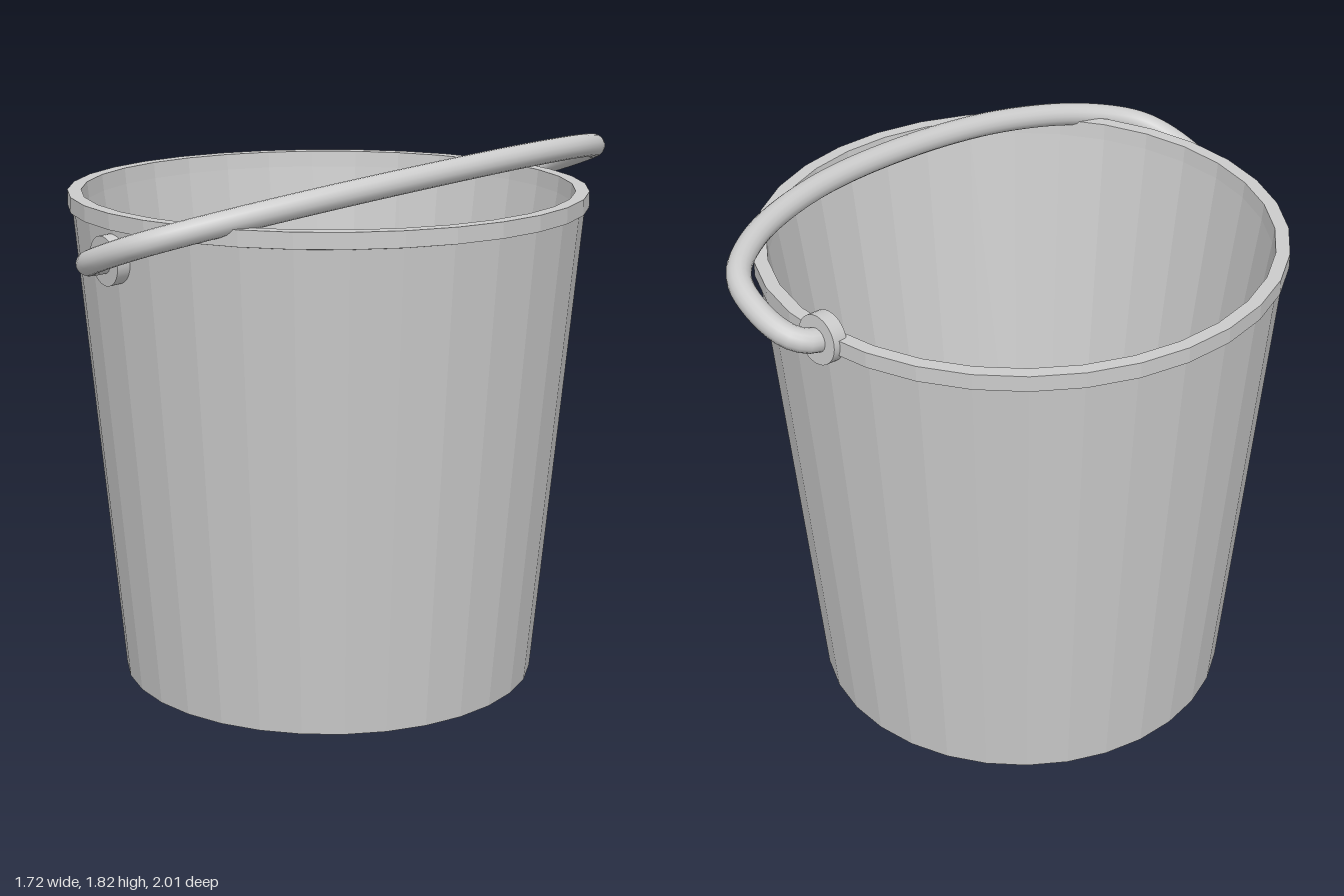
import * as THREE from 'three';

export function createModel() {
  const model = new THREE.Group();
  const smooth = new THREE.MeshStandardMaterial({ color: 0xcccccc });
  const faceted = new THREE.MeshStandardMaterial({ color: 0xcccccc, flatShading: true });

  const add = (name, geometry, material) => {
    const mesh = new THREE.Mesh(geometry, material);
    mesh.name = name;
    model.add(mesh);
    return mesh;
  };

  // Pail: closed profile from the outer base, over the rim, down to the inner floor
  const profile = [
    [0, 0], [0.7, 0], [0.846, 1.6], [0.86, 1.603], [0.86, 1.655],
    [0.815, 1.655], [0.81, 1.6], [0.595, 0.05], [0, 0.05],
  ].map(([r, y]) => new THREE.Vector2(r, y));
  add('pail', new THREE.LatheGeometry(profile, 32), faceted).position.z = -0.01;

  // The handle's hinge line is slightly skewed: lower at the front, higher at the back
  const onHandle = (s, z) =>
    new THREE.Vector3(s - 0.013 * z, 1.57 + 0.35 * s - 0.075 * z, z);

  // Handle: half of the bow, mirrored front to back; s is the reach from the hinge
  const half = [
    [-0.003, 0.85], [0.003, 0.9], [0.045, 0.948], [0.155, 0.964],
    [0.3, 0.92], [0.415, 0.76], [0.51, 0.44],
  ];
  const path = [
    ...half.map(([s, z]) => onHandle(s, z)),
    onHandle(0.543, 0),
    ...half.map(([s, z]) => onHandle(s, -z)).reverse(),
  ];
  add('handle', new THREE.TubeGeometry(new THREE.CatmullRomCurve3(path), 96, 0.039, 16), smooth);

  // Round lugs where the handle meets the pail
  const up = new THREE.Vector3(0, 1, 0);
  const axis = onHandle(0, 1).sub(onHandle(0, -1)).normalize();
  for (const [name, z] of [['frontLug', 0.84], ['backLug', -0.86]]) {
    const lug = add(name, new THREE.CylinderGeometry(0.08, 0.08, 0.05, 32), smooth);
    lug.position.copy(onHandle(0, z));
    lug.quaternion.setFromUnitVectors(up, axis);
  }

  return model;
}
